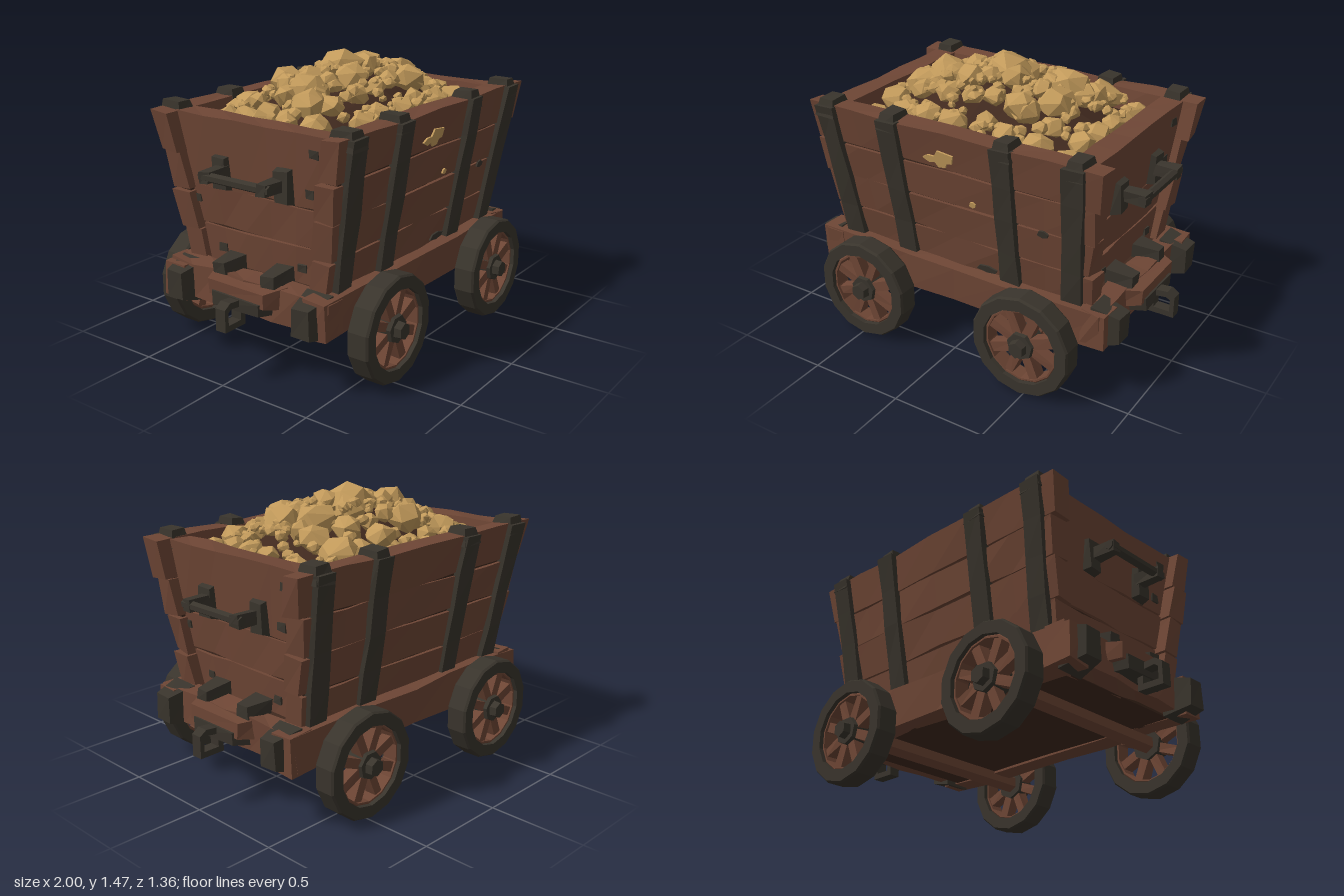
import * as THREE from 'three';
import { ConvexGeometry } from 'three/addons/geometries/ConvexGeometry.js';

const paint = (name, color) => Object.assign(new THREE.MeshStandardMaterial({ color }), { name });

export function createModel() {
  const wood = paint('wood', 0x6e4635);
  const darkWood = paint('darkWood', 0x40291e);
  const iron = paint('iron', 0x39342c);
  const gold = paint('gold', 0xc29a5b);

  let seed = 7;
  const rnd = () => (seed = (seed * 16807) % 2147483647) / 2147483647;
  const range = (a, b) => a + (b - a) * rnd();
  const lerp = THREE.MathUtils.lerp;

  const add = (parent, name, geo, mat) => {
    const flat = geo.index ? geo.toNonIndexed() : geo;
    flat.computeVertexNormals();
    const mesh = new THREE.Mesh(flat, mat);
    mesh.name = name;
    parent.add(mesh);
    return mesh;
  };
  const group = (parent, name) => {
    const g = new THREE.Group();
    g.name = name;
    parent.add(g);
    return g;
  };

  // A hewn block: a unit box mapped through place(u, v, w), roughened by a shared offset per corner
  function hewn(parent, name, mat, place, seg = [1, 1, 1], rough = 0.006) {
    const geo = new THREE.BoxGeometry(1, 1, 1, ...seg);
    const pos = geo.attributes.position;
    const offsets = new Map();
    for (let i = 0; i < pos.count; i++) {
      const uvw = [pos.getX(i) + 0.5, pos.getY(i) + 0.5, pos.getZ(i) + 0.5];
      const key = uvw.map(n => n.toFixed(3)).join();
      if (!offsets.has(key)) offsets.set(key, [0, 0, 0].map(() => range(-rough, rough)));
      const p = place(...uvw), o = offsets.get(key);
      pos.setXYZ(i, p[0] + o[0], p[1] + o[1], p[2] + o[2]);
    }
    return add(parent, name, geo, mat);
  }
  const box = (parent, name, mat, x, y, z, seg, rough) => hewn(parent, name, mat,
    (u, v, w) => [lerp(...x, u), lerp(...y, v), lerp(...z, w)], seg, rough);
  // Box whose +x face is narrowed, for forged caps and plates
  const cap = (parent, name, mat, x, y, z, k = 0.65) => hewn(parent, name, mat, (u, v, w) => {
    const s = lerp(1, k, u);
    return [lerp(...x, u), lerp(...y, 0.5 + (v - 0.5) * s), lerp(...z, 0.5 + (w - 0.5) * s)];
  }, [1, 1, 1], 0.005);

  const model = new THREE.Group();
  model.name = 'mineCart';

  // Slope of the tub: outer faces at a given height
  const outZ = y => 0.435 + (y - 0.48) * 0.165;
  const outX = y => 0.69 + (y - 0.48) * 0.1;
  const halfLength = y => 0.735 + (y - 0.48) * 0.12;

  // Long sides: planks, iron straps and the chassis rail
  for (const turn of [0, Math.PI]) {
    const side = group(model, 'side');
    side.rotation.y = turn;
    hewn(side, 'sideLining', darkWood, (u, v, w) => {
      const y = lerp(0.44, 1.2, v);
      return [(u - 0.5) * 2 * (halfLength(y) - 0.03), y, outZ(y) - lerp(0.085, 0.015, w)];
    }, [1, 1, 1], 0);
    const rows = [0.45, 0.635, 0.83, 1.02, 1.225];
    for (let i = 0; i < 4; i++) {
      const a = range(-0.015, 0.02), b = range(-0.015, 0.02);
      hewn(side, 'sidePlank', wood, (u, v, w) => {
        const y = lerp(rows[i] + 0.005, rows[i + 1] - 0.003, v);
        return [lerp(-halfLength(y) - a, halfLength(y) + b, u), y, outZ(y) - lerp(0.105, 0, w)];
      }, [6, 1, 1], 0.007);
    }
    for (const s of [-1, 1]) for (const [bottom, top] of [[0.65, 0.705], [0.31, 0.325]]) {
      hewn(side, 'strap', iron, (u, v, w) => {
        const y = lerp(0.46, 1.22, v);
        return [s * lerp(bottom, top, v) + (u - 0.5) * 0.108, y, outZ(y) + lerp(-0.02, 0.028, w)];
      }, [1, 4, 1], 0.005);
      hewn(side, 'strapCap', iron, (u, v, w) => {
        const k = lerp(1, 0.7, v);
        return [s * top + (u - 0.5) * 0.112 * k, lerp(1.17, 1.258, v), 0.508 + (w - 0.5) * 0.145 * k];
      }, [1, 1, 1], 0.005);
    }
    box(side, 'chassisRail', wood, [-0.85, 0.85], [0.285, 0.475], [0.37, 0.495], [6, 1, 1], 0.009);
  }

  // Wear marks laid on the front planks
  function patch(parent, name, mat, points, x, y) {
    const shape = new THREE.Shape(points.map(p => new THREE.Vector2(...p)));
    const mesh = add(parent, name,
      new THREE.ExtrudeGeometry(shape, { depth: 0.009, bevelEnabled: false }), mat);
    mesh.position.set(x, y, outZ(y) + 0.003);
    mesh.rotation.x = Math.atan(0.165);
  }
  const chip = [[-0.03, -0.01], [0, -0.02], [0.025, -0.012], [0.03, 0.008], [0.005, 0.02], [-0.02, 0.015]];
  patch(model, 'goldPatch', gold, [[-0.13, -0.01], [-0.09, -0.03], [-0.06, -0.02], [-0.04, -0.045],
    [0.0, -0.04], [0.01, -0.015], [0.04, -0.01], [0.05, 0.035], [-0.04, 0.045], [-0.06, 0.01], [-0.1, 0.01]], 0, 1.085);
  patch(model, 'goldChip', gold, chip.map(p => [p[0] * 0.6, p[1] * 0.8]), 0.13, 0.87);
  patch(model, 'darkChip', iron, chip, 0.515, 0.82);
  patch(model, 'darkChip', iron, chip.map(p => [p[0] * 2, p[1]]), 0.17, 0.5);

  // Ends: planks, handle, buffer beam and coupling loop
  for (const turn of [0, Math.PI]) {
    const end = group(model, 'end');
    end.rotation.y = turn;
    const rows = [0.45, 0.66, 0.86, 1.222];
    hewn(end, 'endLining', darkWood, (u, v, w) => {
      const y = lerp(0.44, 1.2, v);
      return [outX(y) - lerp(0.1, 0.015, u), y, (w - 0.5) * 2 * (outZ(y) - 0.08)];
    }, [1, 1, 1], 0);
    for (let i = 0; i < 3; i++) hewn(end, 'endPlank', wood, (u, v, w) => {
      const y = lerp(rows[i] + 0.005, rows[i + 1] - 0.004, v);
      return [outX(y) - lerp(0.12, 0, u), y, (w - 0.5) * 2 * (outZ(y) - 0.095)];
    }, [1, 1, 5], 0.006);
    for (const [y, z] of [[1.13, -0.37], [0.935, -0.33], [0.79, 0.38], [0.55, 0.24], [0.55, -0.25]])
      box(end, 'darkChip', iron, [outX(y) - 0.001, outX(y) + 0.008], [y - 0.02, y + 0.02],
        [z - 0.025, z + 0.025], [1, 1, 1], 0.004);

    for (const s of [-1, 1]) {
      cap(end, 'handlePlate', iron, [0.72, 0.775], [0.865, 1.04], [s * 0.19 - 0.047, s * 0.19 + 0.047], 0.85);
      box(end, 'handlePost', iron, [0.75, 0.89], [0.93, 0.99], [s * 0.175 - 0.028, s * 0.175 + 0.028]);
      cap(end, 'beamCap', iron, [0.755, 0.9], [0.275, 0.485], [s * 0.39 - 0.075, s * 0.39 + 0.075]);
      cap(end, 'bufferBracket', iron, [0.7, 0.84], [0.455, 0.545], [s * 0.15 - 0.055, s * 0.15 + 0.055]);
    }
    const bar = add(end, 'handleBar', new THREE.CylinderGeometry(0.024, 0.024, 0.42, 6), iron);
    bar.rotation.x = Math.PI / 2;
    bar.position.set(0.87, 0.962, 0);

    box(end, 'endBeam', wood, [0.72, 0.825], [0.3, 0.478], [-0.49, 0.49], [1, 1, 6], 0.012);
    cap(end, 'buffer', wood, [0.78, 0.89], [0.37, 0.475], [-0.23, 0.23], 0.75);
    cap(end, 'couplingPlate', iron, [0.8, 0.9], [0.335, 0.415], [-0.18, 0.18], 0.8);
    // Flat frame with an open middle
    const loop = new THREE.Shape([[0.86, 0.272], [0.998, 0.272], [0.998, 0.385], [0.96, 0.41], [0.86, 0.4]]
      .map(p => new THREE.Vector2(...p)));
    loop.holes.push(new THREE.Path([[0.89, 0.302], [0.89, 0.37], [0.955, 0.378], [0.975, 0.365], [0.975, 0.302]]
      .map(p => new THREE.Vector2(...p))));
    add(end, 'couplingLoop', new THREE.ExtrudeGeometry(loop, { depth: 0.06, bevelEnabled: false })
      .translate(0, 0, -0.03), iron);
  }

  box(model, 'floor', darkWood, [-0.74, 0.74], [0.29, 0.47], [-0.39, 0.39], [1, 1, 1], 0);

  // Axles and spoked wheels
  const ring = (inner, outer, half) => new THREE.LatheGeometry([[inner, -half], [outer - 0.008, -half],
    [outer, -half * 0.8], [outer, half * 0.8], [outer - 0.008, half], [inner, half], [inner, -half]]
    .map(p => new THREE.Vector2(...p)), 14).rotateX(Math.PI / 2);
  const disc = (r0, r1, depth, z, n) => new THREE.CylinderGeometry(r1, r0, depth, n)
    .rotateX(Math.PI / 2).translate(0, 0, z);
  for (const x of [-0.48, 0.48]) {
    const set = group(model, 'wheelSet');
    set.position.set(x, 0.266, 0);
    add(set, 'axle', disc(0.05, 0.05, 1.1, 0, 6), wood);
    for (const turn of [0, Math.PI]) {
      const side = group(set, 'wheelMount');
      side.rotation.y = turn;
      const wheel = group(side, 'wheel');
      wheel.position.z = 0.594;
      add(wheel, 'tyre', ring(0.202, 0.27, 0.058), iron);
      add(wheel, 'rim', ring(0.187, 0.204, 0.04), wood);
      add(wheel, 'hub', disc(0.085, 0.07, 0.1, 0, 7), iron);
      add(wheel, 'axleNut', disc(0.048, 0.042, 0.06, 0.058, 6), iron);
      for (let i = 0; i < 8; i++) {
        const spoke = box(wheel, 'spoke', wood, [0.04, 0.2], [-0.024, 0.024], [-0.03, 0.03], [1, 1, 1], 0.004);
        spoke.rotation.z = (i + 0.5) * Math.PI / 4;
      }
    }
  }

  // Heaped load: a dark mound covered in faceted nuggets
  const heap = (x, z) => 1.11 + 0.25 * Math.max(0, 1 - (x / 0.68) ** 2) * Math.max(0, 1 - (z / 0.47) ** 2);
  hewn(model, 'loadBed', darkWood, (u, v, w) => {
    const x = lerp(-0.64, 0.64, u), z = lerp(-0.44, 0.44, w);
    return [x, v > 0.5 ? heap(x, z) - 0.03 : 0.9, z];
  }, [10, 1, 8], 0.01);
  const load = group(model, 'load');
  function nugget(x, y, z, r) {
    const points = [];
    for (let i = 0; i < 16; i++) {
      const h = 1 - 2 * (i + 0.5) / 16, a = i * 2.4 + range(-0.4, 0.4), k = Math.sqrt(1 - h * h);
      const s = r * range(0.86, 1.08);
      points.push(new THREE.Vector3(k * Math.cos(a) * s, h * s * 0.85, k * Math.sin(a) * s));
    }
    const mesh = add(load, 'nugget', new ConvexGeometry(points), gold);
    mesh.position.set(x, y, z);
    mesh.rotation.set(range(-0.4, 0.4), range(0, 6), range(-0.4, 0.4));
  }
  nugget(0.0, 1.362, -0.04, 0.125);
  for (const [x, z, r] of [[-0.44, 0.1, 0.1], [-0.34, 0.02, 0.11], [0.3, -0.1, 0.115], [0.34, 0.08, 0.1],
    [0.22, 0.22, 0.1], [-0.17, -0.25, 0.1], [-0.14, 0.12, 0.09], [0.38, -0.33, 0.1], [-0.42, -0.3, 0.08]])
    nugget(x, heap(x, z) + 0.01, z, r);
  // Medium nuggets on a loose grid, then small ones filling the gaps
  for (let i = 0; i < 8; i++) for (let j = 0; j < 6; j++) {
    const r = range(0.055, 0.09), x = -0.545 + i * 0.156 + range(-0.03, 0.03), z = -0.36 + j * 0.144 + range(-0.03, 0.03);
    nugget(x, heap(x, z) + range(-0.015, 0.025), z, r);
  }
  for (let i = 0; i < 170; i++) {
    const x = range(-0.6, 0.6), z = range(-0.41, 0.41);
    nugget(x, heap(x, z) + range(0, 0.035), z, range(0.02, 0.042));
  }
  return model;
}
